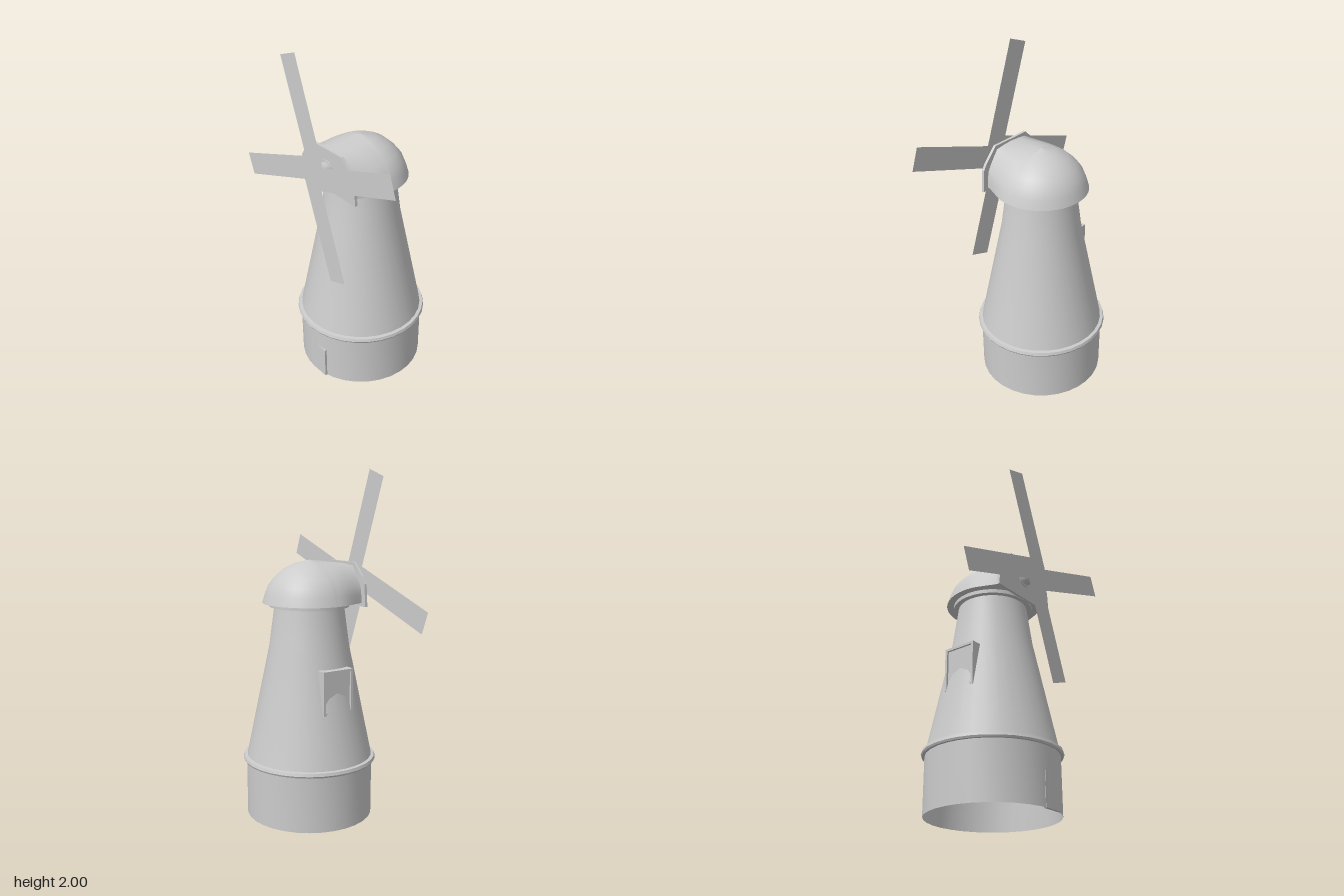
import * as THREE from 'three';
import { toCreasedNormals } from 'three/addons/utils/BufferGeometryUtils.js';

const material = new THREE.MeshStandardMaterial({ color: 0xcccccc, side: THREE.DoubleSide });
const SEGMENTS = 32;

function add(parent, name, geometry, x = 0, y = 0, z = 0) {
  const mesh = new THREE.Mesh(geometry, material);
  mesh.name = name;
  mesh.position.set(x, y, z);
  parent.add(mesh);
  return mesh;
}

const toVectors = (points) => points.map(([x, y]) => new THREE.Vector2(x, y));

// Surface of revolution with sharp edges kept between its bands
function lathe(points, start = 0, sweep = Math.PI * 2, segments = SEGMENTS) {
  return toCreasedNormals(new THREE.LatheGeometry(toVectors(points), segments, start, sweep), 0.6);
}

// Cylinder lying along z, from z0 to z1
function axle(parent, name, radius, z0, z1, y) {
  const geometry = new THREE.CylinderGeometry(radius, radius, z1 - z0, 16).rotateX(Math.PI / 2);
  return add(parent, name, geometry, 0, y, (z0 + z1) / 2);
}

function buildCap() {
  const cap = new THREE.Group();
  cap.name = 'cap';

  // Half outlines, rim to crown: round dome and the narrower faceted front
  const dome = [[0.27, 1.25], [0.255, 1.3], [0.235, 1.35], [0.2, 1.395], [0.15, 1.44], [0.08, 1.475], [0, 1.493]];
  const front = [[0.2, 1.25], [0.197, 1.3], [0.19, 1.345], [0.16, 1.395], [0.115, 1.455], [0.06, 1.462], [0, 1.466]];
  add(cap, 'capDome', new THREE.LatheGeometry(toVectors(dome), 20, Math.PI / 2, Math.PI));

  // Front of the cap: the dome outline blends into the faceted one
  const rows = 8, half = dome.length - 1, depth = 0.225;
  const hood = new THREE.PlaneGeometry(1, 1, half * 2, rows);
  const pos = hood.attributes.position;
  const blend = (t) => 0.45 * t * t + 0.55 * THREE.MathUtils.smoothstep(t, 0.1, 1);
  for (let r = 0, i = 0; r <= rows; r++) {
    const t = r / rows;
    for (let c = 0; c <= half * 2; c++, i++) {
      const k = half - Math.abs(c - half);
      const side = Math.sign(c - half);
      const x = THREE.MathUtils.lerp(dome[k][0], front[k][0], blend(t));
      const y = THREE.MathUtils.lerp(dome[k][1], front[k][1], t);
      pos.setXYZ(i, side * x, y, t * depth);
    }
  }
  hood.computeVertexNormals();
  add(cap, 'capHood', hood);

  // Flat underside following the rim
  const rim = new THREE.Shape();
  rim.moveTo(0.27, 0);
  rim.absarc(0, 0, 0.27, 0, Math.PI, false);
  const edge = [];
  for (let r = 1; r <= rows; r++) {
    const t = r / rows;
    edge.push([THREE.MathUtils.lerp(0.27, 0.2, blend(t)), -t * depth]);
  }
  edge.forEach(([x, y]) => rim.lineTo(-x, y));
  edge.reverse().forEach(([x, y]) => rim.lineTo(x, y));
  add(cap, 'capUnderside', new THREE.ShapeGeometry(rim, 20).rotateX(-Math.PI / 2), 0, 1.25, 0);

  // Collar between the tower and the cap
  add(cap, 'capCollar', new THREE.CylinderGeometry(0.23, 0.23, 0.022, SEGMENTS), 0, 1.239, 0);

  // Faceted front board
  const board = new THREE.Shape(toVectors([
    [-0.235, 1.23], [0.235, 1.23], [0.225, 1.36], [0.2, 1.4],
    [0.125, 1.478], [-0.125, 1.478], [-0.2, 1.4], [-0.225, 1.36],
  ]));
  add(cap, 'frontBoard', new THREE.ExtrudeGeometry(board, { depth: 0.016, bevelEnabled: false }), 0, 0, 0.224);
  return cap;
}

function buildSails() {
  const y = 1.362;
  const group = new THREE.Group();
  group.name = 'sailAssembly';
  axle(group, 'hubCollar', 0.052, 0.238, 0.248, y);
  axle(group, 'hub', 0.043, 0.245, 0.305, y);
  axle(group, 'hubPin', 0.014, 0.3, 0.329, y);

  // Four thin blades, each set off to one side of the hub
  const sails = new THREE.Group();
  sails.name = 'sails';
  sails.position.set(0, y, 0.33);
  sails.rotation.z = 0.344;
  const blade = new THREE.PlaneGeometry(0.132, 0.678).translate(0.032, 0.305, 0);
  for (let i = 0; i < 4; i++) {
    add(sails, 'sail', blade).rotation.z = (i * Math.PI) / 2;
  }
  group.add(sails);
  return group;
}

function buildWindow() {
  const group = new THREE.Group();
  group.name = 'window';
  const w = 0.1, h = 0.125, t = 0.014;
  const rect = (Type, a, b) => new Type(toVectors([[-a, -b], [a, -b], [a, b], [-a, b]]));
  const frame = rect(THREE.Shape, w, h);
  frame.holes.push(rect(THREE.Path, w - t, h - t));
  add(group, 'windowFrame', new THREE.ExtrudeGeometry(frame, { depth: 0.09, bevelEnabled: false }), 0, 0, -0.09);
  add(group, 'windowPane', new THREE.BoxGeometry((w - t) * 2, (h - t) * 2, 0.06), 0, 0, -0.042);
  group.position.set(-0.292, 0.775, 0);
  group.rotation.y = -Math.PI / 2;
  return group;
}

export function createModel() {
  const model = new THREE.Group();
  model.name = 'windmill';

  // Open-bottomed base, ledge and tapering tower
  add(model, 'base', lathe([[0.37, 0], [0.37, 0.33]]));
  add(model, 'ledge', lathe([[0.36, 0.325], [0.385, 0.325], [0.39, 0.335], [0.385, 0.352], [0.36, 0.355]]));
  add(model, 'tower', lathe([[0.367, 0.35], [0.232, 1.0], [0.2, 1.235]]));

  // Door set flat into the round wall
  add(model, 'door', new THREE.BoxGeometry(0.13, 0.2, 0.016), 0.033, 0.1, 0.361);

  model.add(buildWindow(), buildCap(), buildSails());
  return model;
}
